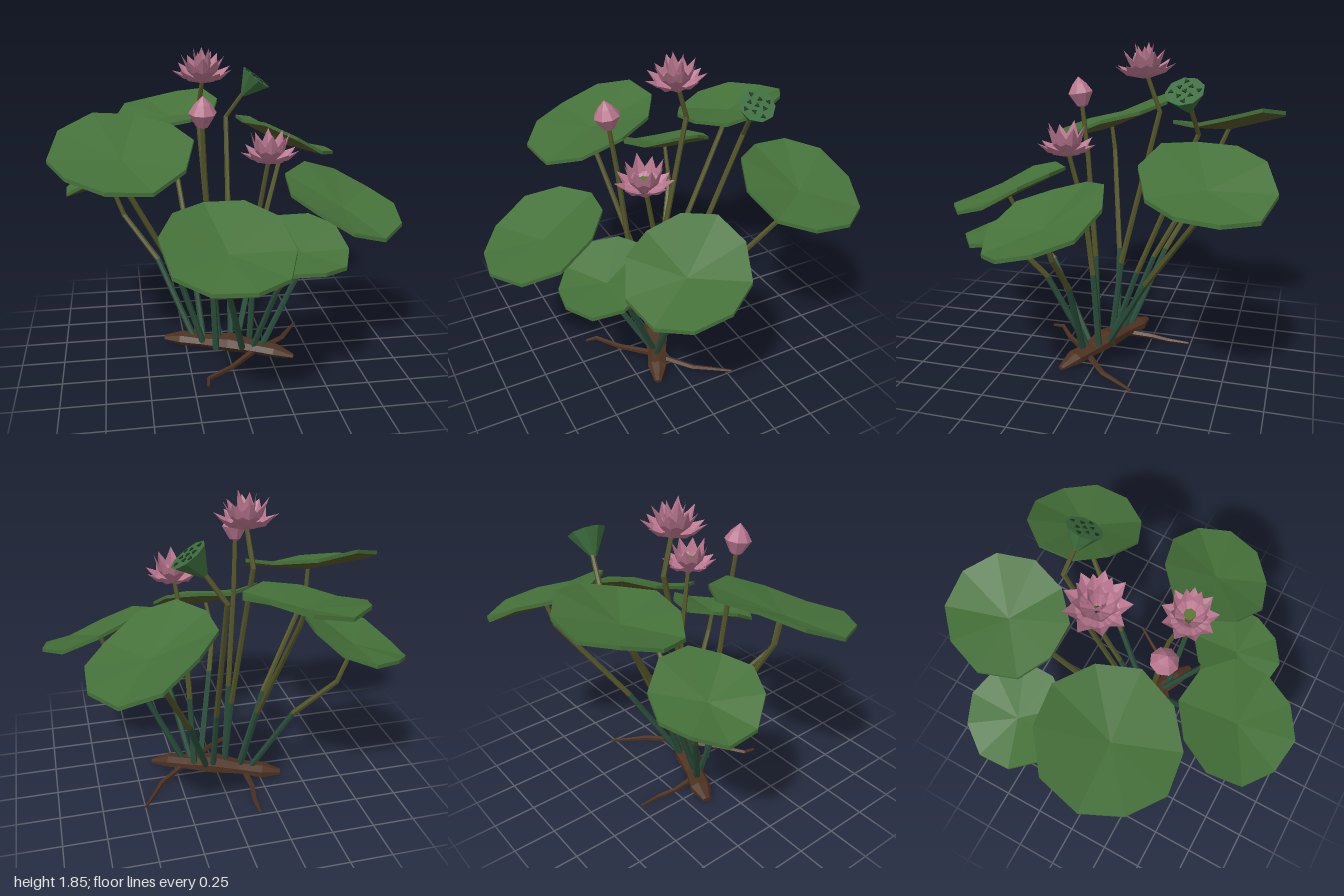
import * as THREE from 'three';

const mat = (name, color, side = THREE.FrontSide) =>
  new THREE.MeshStandardMaterial({ name, color, side, flatShading: true });
const V = (p) => new THREE.Vector3(...p);

// Flat-shaded geometry from a list of corner points, three per face
function faces(points) {
  const g = new THREE.BufferGeometry().setFromPoints(points);
  g.computeVertexNormals();
  return g;
}

// Rings of points around a path; ref keeps the rings from twisting
function ringsAlong(path, radii, sides, ref, flat = 1) {
  const pts = path.map(V);
  return pts.map((p, i) => {
    const t = pts[Math.min(i + 1, pts.length - 1)].clone().sub(pts[Math.max(i - 1, 0)]).normalize();
    const u = t.clone().cross(ref).normalize();
    const w = t.clone().cross(u);
    return Array.from({ length: sides }, (_, k) => {
      const a = (k / sides) * Math.PI * 2;
      return p.clone().addScaledVector(u, Math.cos(a) * radii[i]).addScaledVector(w, Math.sin(a) * radii[i] * flat);
    });
  });
}

// Skin a list of rings and close both ends
function skin(rings) {
  const out = [], n = rings[0].length;
  for (let r = 0; r < rings.length - 1; r++) {
    const a = rings[r], b = rings[r + 1];
    for (let i = 0; i < n; i++) {
      const j = (i + 1) % n;
      out.push(a[i], a[j], b[j], a[i], b[j], b[i]);
    }
  }
  const first = rings[0], last = rings[rings.length - 1];
  for (let i = 1; i < n - 1; i++) {
    out.push(first[0], first[i + 1], first[i], last[0], last[i], last[i + 1]);
  }
  return faces(out);
}

export function createModel() {
  const model = new THREE.Group();
  const leafGreen = mat('leafGreen', 0x457139);
  const olive = mat('olive', 0x535528);
  const stemGreen = mat('stemGreen', 0x294c39);
  const petalPink = mat('petalPink', 0xb8768e, THREE.DoubleSide);
  const rootBrown = mat('rootBrown', 0x4c3120);
  const podGreen = mat('podGreen', 0x3c6c3d);
  const seedDark = mat('seedDark', 0x1c3520);
  const pistilGreen = mat('pistilGreen', 0x5d7434);

  const add = (name, geometry, material, parent = model) => {
    const m = new THREE.Mesh(geometry, material);
    m.name = name;
    parent.add(m);
    return m;
  };
  const Y = new THREE.Vector3(0, 1, 0), Z = new THREE.Vector3(0, 0, 1);

  // Stem: dark green up to the first bend, olive above it
  function stem(name, path) {
    const radii = path.map((_, i) => 0.02 - 0.007 * (i / (path.length - 1)));
    const rings = ringsAlong(path, radii, 6, Z);
    add(name + 'StemBase', skin(rings.slice(0, 2)), stemGreen);
    add(name + 'StemTop', skin(rings.slice(1)), olive);
  }

  // Leaf: ten-sided cup, sloped by sx and sz, with a wavy rim
  function leaf(name, [cx, cy, cz], rx, rz, sx, sz, phase) {
    const n = 10, thick = 0.022, rim = [];
    for (let i = 0; i < n; i++) {
      const a = THREE.MathUtils.degToRad(phase + i * 36);
      const k = 1 + 0.025 * Math.sin(i * 2.3 + phase);
      const dx = Math.cos(a) * rx * k, dz = Math.sin(a) * rz * k;
      const dy = 0.056 + 0.022 * Math.sin(i * 1.9 + phase);
      rim.push(V([cx + dx, cy + dy + sx * dx + sz * dz, cz + dz]));
    }
    const low = rim.map((p) => p.clone().setY(p.y - thick));
    const top = V([cx, cy, cz]), under = V([cx, cy - thick, cz]);
    const upper = [], lower = [];
    for (let i = 0; i < n; i++) {
      const j = (i + 1) % n;
      upper.push(top, rim[j], rim[i], rim[i], rim[j], low[j], rim[i], low[j], low[i]);
      lower.push(under, low[i], low[j]);
    }
    add(name + 'Top', faces(upper), leafGreen);
    add(name + 'Underside', faces(lower), olive);
  }

  // Leaves: centre, radii, slopes, rim phase, then the stem below the centre
  const leaves = [
    ['leftLeafLarge', [-0.605, 1.29, 0.135], 0.395, 0.385, 0, -0.36, -5,
      [[-0.15, 0.06, -0.03], [-0.3, 0.54, 0], [-0.59, 1.12, 0.11]]],
    ['backLeftLeafSmall', [-0.68, 1.02, -0.43], 0.28, 0.295, 0.36, 0.1, -18,
      [[-0.2, 0.06, -0.1], [-0.4, 0.53, -0.28], [-0.6, 0.79, -0.42]]],
    ['backLeaf', [-0.29, 1.37, -0.665], 0.33, 0.328, 0.15, -0.16, -3,
      [[-0.14, 0.06, -0.07], [-0.19, 0.55, -0.25], [-0.28, 1.25, -0.62]]],
    ['backRightLeaf', [0.49, 1.18, -0.655], 0.325, 0.345, -0.42, 0.12, -18,
      [[0.07, 0.06, -0.03], [0.23, 0.53, -0.29], [0.45, 1.04, -0.63]]],
    ['rightLeaf', [0.66, 0.96, 0.15], 0.34, 0.325, -0.3, -0.32, -12,
      [[0.2, 0.06, 0.09], [0.42, 0.54, 0.1], [0.6, 0.77, 0.13]]],
    ['frontLeaf', [-0.09, 0.91, 0.66], 0.355, 0.345, -0.05, -0.4, 4,
      [[0.08, 0.06, 0.09], [-0.04, 0.53, 0.35], [-0.12, 0.71, 0.58]]],
    ['frontLeafSmall', [0.335, 0.82, 0.46], 0.27, 0.265, -0.08, -0.34, 4,
      [[0.15, 0.06, 0.08], [0.25, 0.53, 0.29], [0.32, 0.7, 0.42]]],
  ];
  for (const [name, c, rx, rz, sx, sz, phase, path] of leaves) {
    leaf(name, c, rx, rz, sx, sz, phase);
    stem(name, [...path, [c[0], c[1] - 0.012, c[2]]]);
  }

  // Flower, bud and pod stems
  stem('tallFlower', [[-0.05, 0.06, -0.02], [-0.08, 0.53, -0.07], [-0.135, 1.46, -0.28], [-0.115, 1.66, -0.21]]);
  stem('lowFlower', [[0.14, 0.06, 0.01], [0.155, 0.53, 0.04], [0.17, 0.9, 0.08], [0.21, 1.26, 0.16]]);
  stem('bud', [[-0.08, 0.06, 0.08], [-0.105, 0.55, 0.1], [-0.15, 1.18, 0.16], [-0.165, 1.48, 0.2]]);
  stem('pod', [[0.03, 0.06, -0.04], [0.045, 0.53, -0.2], [0.075, 1.38, -0.54], [0.185, 1.54, -0.51]]);

  // Flower: rings of folded, pointed petals [count, belly r, belly y, tip r, tip y, half width]
  function flower(name, position, rings) {
    const g = new THREE.Group();
    g.name = name;
    g.position.set(...position);
    rings.forEach(([n, rm, ym, rt, yt, w], ring) => {
      const pts = [];
      for (let i = 0; i < n; i++) {
        const a = ((i + ring * 0.5) / n) * Math.PI * 2 + 0.3;
        const at = (r, y, s = 0) => V([r, y, s]).applyAxisAngle(Y, a);
        const base = at(0.015, 0), keel = at(rm, ym);
        const tip = at(rt, yt + 0.012 * Math.sin(i * 2.7));
        const l = at(rm - 0.01, ym + 0.02, w), r = at(rm - 0.01, ym + 0.02, -w);
        pts.push(base, l, keel, base, keel, r, l, tip, keel, keel, tip, r);
      }
      add('petals', faces(pts), petalPink, g);
    });
    model.add(g);
    return g;
  }
  const tall = flower('tallFlower', [-0.115, 1.65, -0.2], [
    [9, 0.11, 0.025, 0.178, 0.085, 0.056], [8, 0.085, 0.065, 0.125, 0.155, 0.05], [5, 0.045, 0.09, 0.055, 0.195, 0.036]]);
  tall.rotation.x = 0.08;
  const low = flower('lowFlower', [0.215, 1.245, 0.17], [
    [9, 0.105, 0.025, 0.165, 0.08, 0.053], [8, 0.082, 0.07, 0.11, 0.175, 0.045]]);
  add('pistil', new THREE.CylinderGeometry(0.036, 0.015, 0.08, 7), pistilGreen, low).position.y = 0.04;

  // Closed bud
  const budProfile = [[0, 0], [0.035, 0.02], [0.077, 0.095], [0.045, 0.145], [0, 0.19]];
  const bud = add('bud', new THREE.LatheGeometry(budProfile.map((p) => new THREE.Vector2(...p)), 8), petalPink);
  bud.position.set(-0.165, 1.455, 0.195);
  bud.rotation.x = 0.15;

  // Seed pod: cone with a flat face and dark seeds, tipped to the side
  const pod = new THREE.Group();
  pod.name = 'seedPod';
  pod.position.set(0.26, 1.635, -0.49);
  pod.quaternion.setFromUnitVectors(Y, V([0.59, 0.8, 0.1]).normalize());
  model.add(pod);
  add('podCup', new THREE.CylinderGeometry(0.105, 0.016, 0.14, 9), podGreen, pod).position.y = -0.07;
  for (let i = 0; i < 9; i++) {
    const a = (i / 8) * Math.PI * 2, r = i < 8 ? (i % 2 ? 0.045 : 0.073) : 0;
    const seed = add('seed', new THREE.CylinderGeometry(0.016, 0.016, 0.008, 3), seedDark, pod);
    seed.position.set(Math.cos(a) * r, 0.002, Math.sin(a) * r);
    seed.rotation.y = i * 1.3;
  }

  // Knobbly rootstock lying on the ground
  const stock = [[-0.375, 0.035, -0.165], [-0.27, 0.044, -0.13], [-0.14, 0.046, -0.07], [0.02, 0.06, 0],
    [0.16, 0.046, 0.06], [0.28, 0.042, 0.12], [0.385, 0.02, 0.17]];
  add('rootstock', skin(ringsAlong(stock, [0.025, 0.066, 0.058, 0.085, 0.06, 0.06, 0.02], 7, Y, 0.62)), rootBrown);

  // Thin trailing roots
  const roots = [
    [[0.14, 0.03, 0.1], [-0.01, 0.018, 0.24], [-0.16, 0.014, 0.34], [-0.17, 0.01, 0.41]],
    [[0.18, 0.03, 0.08], [0.37, 0.018, -0.08], [0.42, 0.014, -0.16], [0.5, 0.01, -0.28]],
    [[-0.16, 0.03, -0.08], [-0.17, 0.018, -0.25], [-0.15, 0.014, -0.36], [-0.15, 0.01, -0.49]],
  ];
  for (const path of roots) {
    add('root', skin(ringsAlong(path, [0.02, 0.016, 0.013, 0.008], 5, Y)), rootBrown);
  }
  return model;
}
